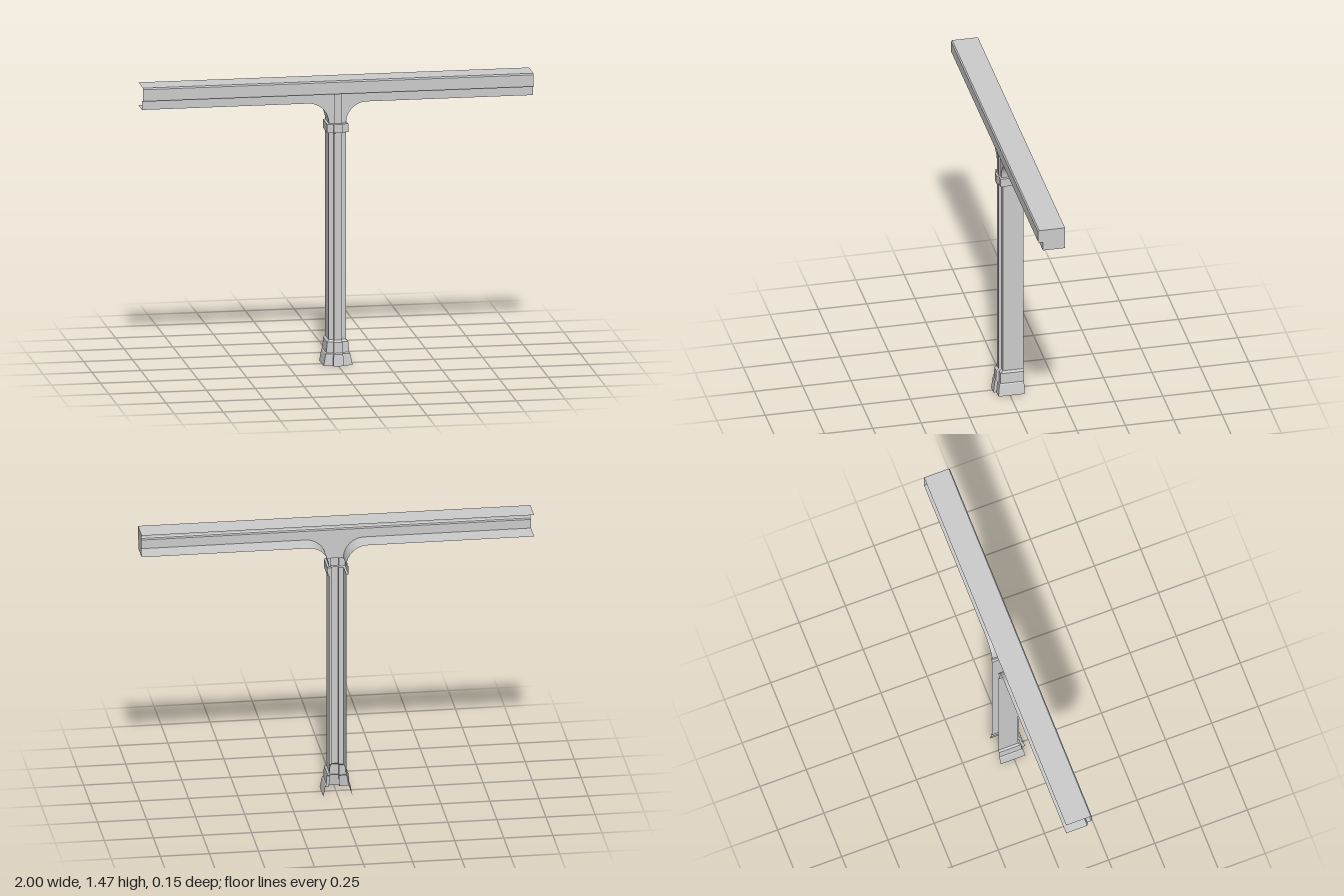
import * as THREE from 'three';

const BACK = -0.075;      // open rear plane
const LIP = 0.039;        // front of the lower lip and brackets
const SOFFIT = 1.357;     // underside of the beam
const SHELF = 1.404;      // underside of the beam's upper band
const CAP_TOP = 1.25;
const SHAFT = 0.044;      // half width of the shaft
const FILLET = 0.15;      // where the brackets meet the soffit

const material = new THREE.MeshStandardMaterial({ color: 0xcccccc, side: THREE.DoubleSide });

// Sheet through rows of [x, y, z] points; faces look along (column step) x (row step)
function sheet(rows, smooth = false) {
  const n = rows[0].length;
  const index = [];
  for (let i = 0; i < rows.length - 1; i++) {
    for (let j = 0; j < n - 1; j++) {
      const a = i * n + j, b = a + 1, c = a + n, d = c + 1;
      index.push(a, b, d, a, d, c);
    }
  }
  let geometry = new THREE.BufferGeometry();
  geometry.setAttribute('position', new THREE.Float32BufferAttribute(rows.flat(2), 3));
  geometry.setIndex(index);
  if (!smooth) geometry = geometry.toNonIndexed();
  geometry.computeVertexNormals();
  return geometry;
}

function add(group, name, geometry) {
  const mesh = new THREE.Mesh(geometry, material);
  mesh.name = name;
  group.add(mesh);
  return mesh;
}

// U-shaped cross-section with a raised centre rib
function section([y, w, z, ribW, ribZ]) {
  return [
    [-w, y, BACK], [-w, y, z], [-ribW, y, z], [-ribW, y, ribZ],
    [ribW, y, ribZ], [ribW, y, z], [w, y, z], [w, y, BACK],
  ];
}

function createColumn() {
  const group = new THREE.Group();
  group.name = 'column';

  // Rows: height, half width, front, rib half width, rib front
  add(group, 'base', sheet([
    [0, 0.074, 0.06, 0.026, 0.076],
    [0.06, 0.063, 0.053, 0.024, 0.068],
    [0.065, 0.058, 0.047, 0.023, 0.062],
    [0.12, 0.054, 0.045, 0.022, 0.06],
    [0.13, SHAFT, 0.031, 0.018, 0.047],
  ].map(section)));

  add(group, 'shaft', sheet([
    [0.13, SHAFT, 0.031, 0.018, 0.047],
    [1.2, SHAFT, 0.031, 0.018, 0.047],
  ].map(section)));

  add(group, 'collar', sheet([
    [1.2, SHAFT, 0.031, 0.018, 0.047],
    [1.203, 0.054, 0.046, 0.022, 0.057],
    [1.247, 0.054, 0.046, 0.022, 0.057],
    [CAP_TOP, SHAFT, LIP, 0.018, 0.047],
  ].map(section)));

  // Rib carried up over the brackets to the shelf
  add(group, 'upperRib', sheet([CAP_TOP, SHELF].map((y) => [
    [-0.018, y, LIP], [-0.018, y, 0.047], [0.018, y, 0.047], [0.018, y, LIP],
  ])));
  return group;
}

function createBrackets() {
  const group = new THREE.Group();
  group.name = 'brackets';
  const steps = 16;
  const curve = [];
  for (let i = 0; i <= steps; i++) {
    const t = (i / steps) * Math.PI / 2;
    curve.push([
      FILLET - (FILLET - SHAFT) * Math.cos(t),
      CAP_TOP + (SOFFIT - CAP_TOP) * Math.sin(t),
    ]);
  }

  // Front web between both curves
  const web = sheet(curve.map(([x, y]) => [[-x, y, LIP], [x, y, LIP]]));
  add(group, 'bracketWeb', web);

  // Curved undersides, one each side
  for (const side of [-1, 1]) {
    const depth = side > 0 ? [LIP, BACK] : [BACK, LIP];
    const rows = curve.map(([x, y]) => depth.map((z) => [side * x, y, z]));
    add(group, side > 0 ? 'leftBracketCurve' : 'rightBracketCurve', sheet(rows, true));
  }
  return group;
}

function createBeam() {
  const group = new THREE.Group();
  group.name = 'beam';

  // Profile as [z, y], from the lip up and over to the rear edge
  const profile = [
    [LIP, SOFFIT], [LIP, SHELF], [0.06, SHELF], [0.064, 1.41],
    [0.064, 1.467], [0.058, 1.474], [BACK, 1.474],
  ];
  add(group, 'beamShell', sheet(profile.map(([z, y]) => [[-1, y, z], [1, y, z]])));

  // Underside, interrupted where the brackets rise into it
  for (const [x0, x1] of [[-1, -FILLET], [FILLET, 1]]) {
    add(group, 'soffit', sheet([BACK, LIP].map((z) => [[x0, SOFFIT, z], [x1, SOFFIT, z]])));
  }

  // End plate on the left only; the other end is open
  const outline = [[BACK, SOFFIT], ...profile].map(([z, y]) => new THREE.Vector2(-z, y));
  const plate = new THREE.ShapeGeometry(new THREE.Shape(outline));
  plate.rotateY(Math.PI / 2);
  add(group, 'endPlate', plate).position.x = 1;
  return group;
}

export function createModel() {
  const model = new THREE.Group();
  model.name = 'columnAndBeam';
  model.add(createColumn(), createBrackets(), createBeam());
  return model;
}
